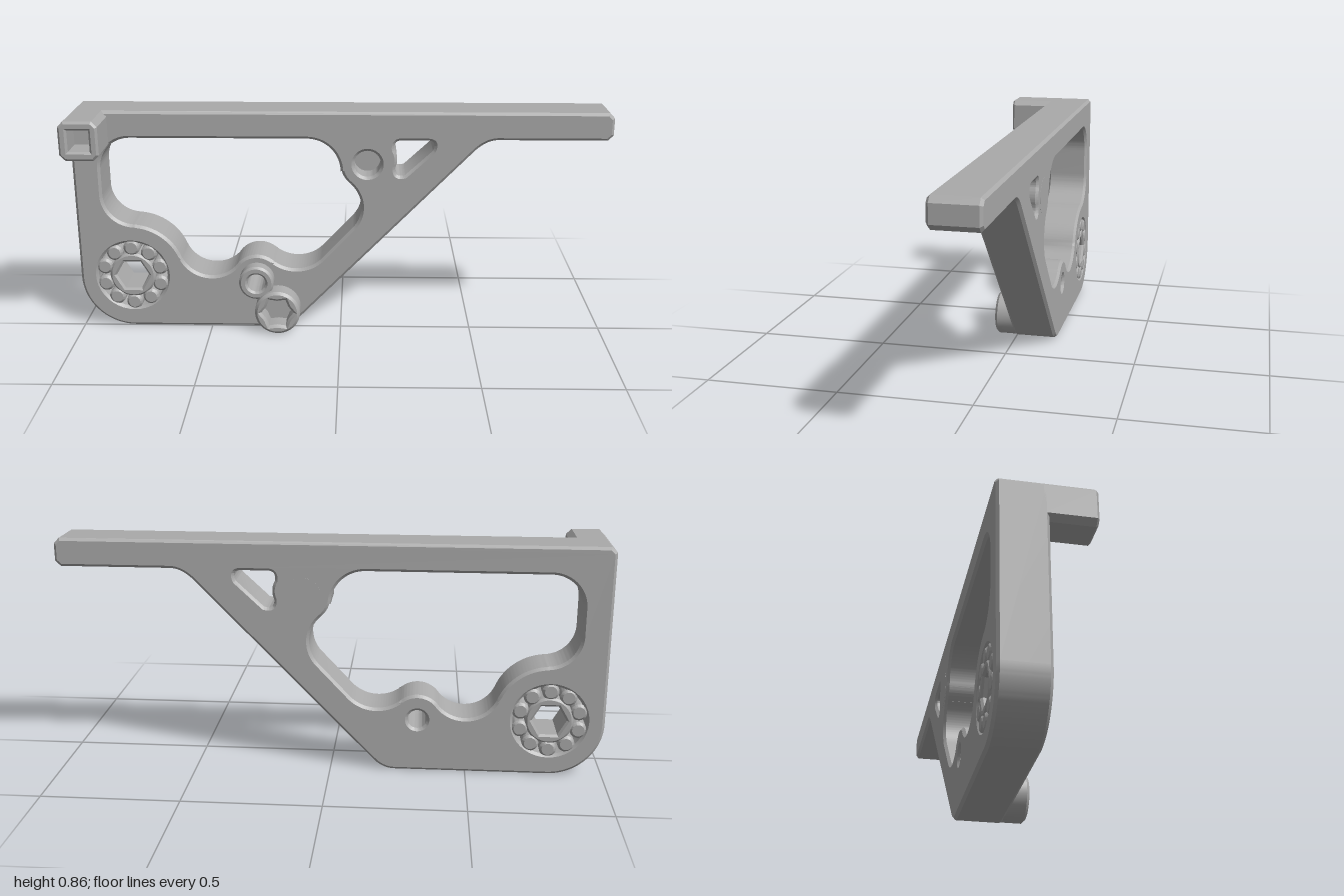
import * as THREE from 'three';
import { toCreasedNormals } from 'three/addons/utils/BufferGeometryUtils.js';

const grey = new THREE.MeshStandardMaterial({ color: 0xaaaaaa });
grey.name = 'grey plastic';

const rad = THREE.MathUtils.degToRad;
const BACK = -0.165, FACE = 0.005;

// Arc in degrees, counter-clockwise unless cw is set
const arc = (p, x, y, r, a, b, cw = false) => p.absarc(x, y, r, rad(a), rad(b), cw);
const circle = (x, y, r, Type = THREE.Path) => arc(new Type(), x, y, r, 0, 360);
const points = (list, Type = THREE.Path) => new Type(list.map(([x, y]) => new THREE.Vector2(x, y)));

// Polygon around a centre, cycling through the given radii
function polygon(x, y, n, radii, turn = 0) {
  return points(Array.from({ length: n }, (_, i) => {
    const a = turn + (i / n) * Math.PI * 2, r = radii[i % radii.length];
    return [x + r * Math.cos(a), y + r * Math.sin(a)];
  }));
}

// Rectangle with cut corners
function cutRect(x0, y0, x1, y1, c) {
  return points([[x0 + c, y0], [x1 - c, y0], [x1, y0 + c], [x1, y1 - c],
    [x1 - c, y1], [x0 + c, y1], [x0, y1 - c], [x0, y0 + c]], THREE.Shape);
}

// Chamfered extrusion between two depths; the outline is the widest section
function slab(name, shape, z0, z1, bevel, holes = []) {
  shape.holes.push(...holes);
  const geo = new THREE.ExtrudeGeometry(shape, {
    depth: z1 - z0 - 2 * bevel, curveSegments: 20, bevelEnabled: bevel > 0,
    bevelThickness: bevel, bevelSize: bevel, bevelOffset: -bevel, bevelSegments: 1,
  });
  geo.translate(0, 0, z0 + bevel);
  const mesh = new THREE.Mesh(toCreasedNormals(geo, 0.5), grey);
  mesh.name = name;
  return mesh;
}

// Bracket outline: long top bar, diagonal brace, rounded lower corners
function frameOutline() {
  const s = new THREE.Shape();
  s.moveTo(-0.98, 0.857);
  s.lineTo(-1, 0.837);
  s.lineTo(-1, 0.2);
  arc(s, -0.8, 0.2, 0.2, 180, 270);
  s.lineTo(-0.24, 0);
  s.quadraticCurveTo(-0.195, 0, -0.16, 0.036);
  s.lineTo(0.49, 0.706);
  s.quadraticCurveTo(0.535, 0.753, 0.58, 0.753);
  s.lineTo(0.98, 0.753);
  s.lineTo(1, 0.773);
  s.lineTo(1, 0.837);
  s.lineTo(0.98, 0.857);
  return s;
}

// Large opening that wraps around the bearing and the two bosses
function mainOpening() {
  const p = new THREE.Path();
  arc(p, -0.78, 0.638, 0.117, 90, 180);
  arc(p, -0.78, 0.532, 0.117, 180, 270);
  arc(p, -0.8, 0.21, 0.205, 83, 22, true);
  arc(p, -0.494, 0.334, 0.125, 202, 322.4);
  arc(p, -0.32, 0.2, 0.095, 142.4, 49.7, true);
  arc(p, -0.17, 0.377, 0.137, 229.7, 315);
  arc(p, -0.045, 0.49, 0.123, -45, 49.5);
  arc(p, 0.1, 0.66, 0.1, 229.5, 195, true);
  arc(p, -0.125, 0.63, 0.125, 0, 90);
  return p;
}

// Small rounded triangular opening
function triangleOpening() {
  const p = new THREE.Path();
  p.moveTo(0.225, 0.75);
  p.quadraticCurveTo(0.195, 0.75, 0.199, 0.715);
  p.quadraticCurveTo(0.218, 0.68, 0.203, 0.645);
  p.quadraticCurveTo(0.2, 0.605, 0.24, 0.617);
  p.lineTo(0.34, 0.71);
  p.quadraticCurveTo(0.36, 0.75, 0.32, 0.75);
  return p;
}

export function createModel() {
  const model = new THREE.Group();
  model.name = 'bracket';

  model.add(slab('frame', frameOutline(), BACK, FACE, 0.01, [
    mainOpening(), triangleOpening(),
    circle(-0.8, 0.21, 0.133), circle(-0.32, 0.2, 0.035), circle(0.1, 0.66, 0.05),
  ]));

  // Floor closing the blind hole from behind
  model.add(slab('blindHoleFloor', circle(0.1, 0.66, 0.068, THREE.Shape), BACK - 0.0005, -0.08, 0));

  // Square arm with a recessed end
  model.add(slab('arm', cutRect(-1, 0.713, -0.858, 0.857, 0.02), -0.02, 0.165, 0.008,
    [points([[-0.968, 0.746], [-0.89, 0.746], [-0.89, 0.824], [-0.968, 0.824]])]));
  const floor = new THREE.Mesh(new THREE.BoxGeometry(0.1, 0.1, 0.06), grey);
  floor.name = 'armRecessFloor';
  floor.position.set(-0.929, 0.785, 0.03);
  model.add(floor);

  // Raised ring and bolt head
  model.add(slab('ringBoss', circle(-0.32, 0.2, 0.066, THREE.Shape), -0.02, 0.056, 0.008,
    [circle(-0.32, 0.2, 0.035)]));
  model.add(slab('boltHead', circle(-0.24, 0.087, 0.086, THREE.Shape), -0.01, 0.08, 0.01,
    [polygon(-0.24, 0.087, 12, [0.062, 0.049])]));

  // Roller bearing: hex-bored hub and ten rollers
  const bearing = new THREE.Group();
  bearing.name = 'bearing';
  bearing.position.set(-0.8, 0.21, 0);
  bearing.add(slab('hub', circle(0, 0, 0.088, THREE.Shape), BACK, FACE, 0.008,
    [polygon(0, 0, 6, [0.063])]));
  for (let i = 0; i < 10; i++) {
    const a = Math.PI / 2 + (i / 10) * Math.PI * 2;
    bearing.add(slab('roller', circle(0.111 * Math.cos(a), 0.111 * Math.sin(a), 0.031, THREE.Shape),
      BACK, FACE, 0.009));
  }
  model.add(bearing);
  return model;
}
